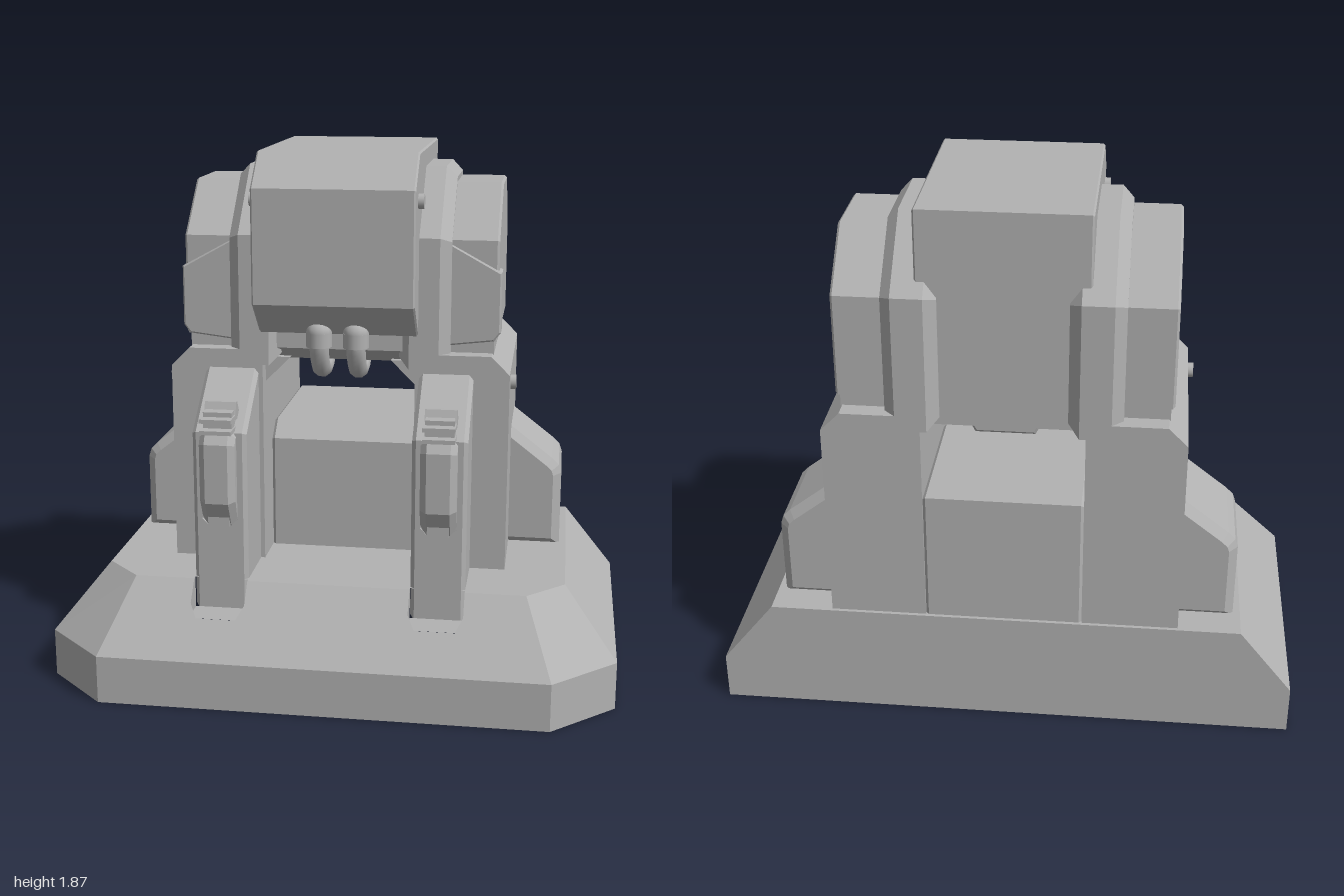
import * as THREE from 'three';
import { mergeGeometries } from 'three/addons/utils/BufferGeometryUtils.js';

const grey = new THREE.MeshStandardMaterial({ color: 0xb2b2b2 });
grey.name = 'plain grey';

const toShape = pts => new THREE.Shape(pts.map(([x, y]) => new THREE.Vector2(x, y)));

// Extrude a [x, y] outline along z from z0 to z1, chamfering the end edges
function extrudeZ(pts, z0, z1, bevel = 0) {
  const g = new THREE.ExtrudeGeometry(toShape(pts), {
    depth: z1 - z0 - 2 * bevel, bevelEnabled: bevel > 0, bevelSegments: 1,
    bevelSize: bevel, bevelThickness: bevel, bevelOffset: -bevel, curveSegments: 6,
  });
  return g.translate(0, 0, z0 + bevel);
}

// Extrude a [z, y] outline along x, centred on cx
function extrudeX(pts, cx, width, bevel = 0) {
  return extrudeZ(pts.map(([z, y]) => [-z, y]), -width / 2, width / 2, bevel)
    .rotateY(Math.PI / 2).translate(cx, 0, 0);
}

// Flat upward face from an [x, z] outline, lifted by a height rule
function upFace(pts, height) {
  const g = new THREE.ShapeGeometry(toShape(pts.map(([x, z]) => [x, -z]))).rotateX(-Math.PI / 2).toNonIndexed();
  const p = g.attributes.position;
  for (let i = 0; i < p.count; i++) p.setY(i, height(p.getZ(i)));
  g.computeVertexNormals();
  return g;
}

// Quad strip between two rings of [x, y, z] points
function wall(low, high, skip = () => false) {
  const v = [];
  for (let i = 0; i < low.length - 1; i++) {
    if (skip(i)) continue;
    v.push(...low[i], ...low[i + 1], ...high[i + 1], ...low[i], ...high[i + 1], ...high[i]);
  }
  const g = new THREE.BufferGeometry();
  g.setAttribute('position', new THREE.Float32BufferAttribute(v, 3));
  g.setAttribute('uv', new THREE.Float32BufferAttribute(new Array(v.length / 3 * 2).fill(0), 2));
  g.computeVertexNormals();
  return g;
}

// Sloped plinth with a notch in front of each buttress
function baseGeometry() {
  const foot = [[-1, -0.6], [-1, 0.39], [-0.78, 0.6], [0.78, 0.6], [1, 0.39], [1, -0.6]];
  const deck = [[-0.815, -0.6], [-0.815, 0.27], [-0.685, 0.4], [0.685, 0.4], [0.815, 0.27], [0.815, -0.6]];
  const ring = (pts, y) => [...pts, pts[0]].map(([x, z]) => [x, y, z]);
  const slope = z => Math.min(0.4, 0.4 - (z - 0.4) * 1.15);
  const notch = c => [[0.095, 0.384], [0.095, 0.4], [0.095, 0.46], [0.07, 0.496],
    [-0.07, 0.496], [-0.095, 0.46], [-0.095, 0.4], [-0.095, 0.384]].map(([x, z]) => [c + x, z]);
  const right = notch(0.38), left = notch(-0.38);
  const ends = n => [n[1], n[0], n[7], n[6]];
  const parts = [
    wall(ring(foot, 0), ring(foot, 0.17)),
    wall(ring(foot, 0.17), ring(deck, 0.4), i => i === 2),
    upFace([foot[2], foot[3], deck[3], ...right.slice(1, 7), ...left.slice(1, 7), deck[2]], slope),
    upFace([deck[0], deck[1], deck[2], ...ends(left).reverse(), ...ends(right).reverse(), deck[3], deck[4], deck[5]], () => 0.4),
    new THREE.ShapeGeometry(toShape(foot)).rotateX(Math.PI / 2).toNonIndexed(),
  ];
  for (const n of [right, left]) {
    parts.push(upFace(n, () => 0.29));
    parts.push(wall(n.map(([x, z]) => [x, 0.29, z]), n.map(([x, z]) => [x, Math.max(0.29, slope(z)), z])));
  }
  return mergeGeometries(parts);
}

export function createModel() {
  const model = new THREE.Group();
  const add = (name, geometry) => {
    const m = new THREE.Mesh(geometry, grey);
    m.name = name;
    model.add(m);
    return m;
  };
  const box = (x, y, z, w, h, d) => new THREE.BoxGeometry(w, h, d).translate(x, y, z);

  add('base', baseGeometry());

  // Wall between the towers
  add('rearWall', extrudeX([[0, 0.39], [0, 0.81], [-0.07, 0.87], [-0.588, 0.87], [-0.588, 0.39]], 0, 0.55, 0.015));

  // Central housing with tapered nose
  add('housing', extrudeX([[0.285, 1.755], [0.155, 1.87], [-0.545, 1.87], [-0.545, 1.13], [0.06, 1.13],
    [0.13, 1.18], [0.13, 1.235], [0.155, 1.24], [0.285, 1.36]], 0, 0.56, 0.006));
  add('housingUnderplate', extrudeZ([[-0.13, 1.14], [-0.1, 1.08], [0.1, 1.08], [0.13, 1.14]], -0.5, -0.25, 0.01));

  for (const s of [1, -1]) {
    const flip = pts => pts.map(([x, y]) => [s * x, y]);

    add('tower', extrudeZ(flip([[0.27, 0.39], [0.6, 0.39], [0.6, 1.11], [0.535, 1.175], [0.27, 1.175]]), -0.588, 0.155));
    add('towerGusset', extrudeZ(flip([[0.28, 1.04], [0.28, 1.14], [0.18, 1.14]]), -0.3, 0.1));

    // Front buttress standing in its notch
    add('buttress', extrudeX([[0.1, 0.285], [0.384, 0.285], [0.384, 0.93], [0.155, 1.108], [0.1, 1.108]],
      s * 0.38, 0.19, 0.014));

    // Chamfered rim and shoulder cap
    add('shoulderRim', extrudeX([[0.155, 1.12], [0.155, 1.58], [-0.075, 1.805], [-0.365, 1.805],
      [-0.588, 1.59], [-0.588, 1.12]], s * 0.3, 0.18, 0.038));
    add('shoulderCap', extrudeX([[0.105, 1.22], [0.105, 1.57], [-0.09, 1.75], [-0.355, 1.75],
      [-0.54, 1.57], [-0.54, 1.22]], s * 0.45, 0.205, 0.008));
    add('shoulderNeck', box(s * 0.44, 1.19, -0.215, 0.2, 0.08, 0.62));
    add('shoulderPlate', extrudeZ(flip([[0.37, 1.2], [0.54, 1.22], [0.563, 1.25], [0.563, 1.46], [0.37, 1.565]]),
      0.02, 0.112, 0.006));

    // Side box with sloping top
    add('sideBox', extrudeZ(flip([[0.55, 0.39], [0.79, 0.39], [0.79, 0.67], [0.78, 0.7], [0.755, 0.725],
      [0.6, 0.845], [0.55, 0.845]]), -0.503, -0.147, 0.03));

    // Bolts
    for (const [x, y, z] of [[0.605, 1.068, 0.06], [0.285, 1.71, 0.19]]) {
      add('bolt', new THREE.CylinderGeometry(0.026, 0.026, 0.03, 12).rotateZ(Math.PI / 2).translate(s * x, y, z));
    }

    // Latch with grip fins and hook
    const x = s * 0.38;
    add('latchBody', extrudeX([[0.37, 0.6], [0.392, 0.6], [0.44, 0.69], [0.44, 0.9], [0.415, 0.94], [0.37, 0.94]],
      x, 0.125, 0.022));
    add('latchTip', box(x, 0.645, 0.395, 0.075, 0.09, 0.03));
    for (const y of [0.942, 0.982]) add('latchFin', box(x, y, 0.39, 0.11, 0.014, 0.1));
    add('latchBlock', box(x, 0.955, 0.37, 0.1, 0.1, 0.06));
    add('latchHook', extrudeX([[0.37, 0.97], [0.345, 1.03], [0.33, 1.03], [0.29, 0.97]], x, 0.11));

    // Hose curling from the nose to the underside
    const hx = s * 0.065;
    const path = new THREE.CatmullRomCurve3([[1.26, 0.175], [1.18, 0.165], [1.115, 0.12], [1.105, 0.05], [1.15, -0.02]]
      .map(([y, z]) => new THREE.Vector3(hx, y, z)));
    add('hose', new THREE.TubeGeometry(path, 16, 0.034, 10));
    add('hoseSocket', new THREE.CylinderGeometry(0.046, 0.046, 0.05, 12).translate(hx, 1.222, 0.17));
    add('hoseElbow', new THREE.SphereGeometry(0.046, 12, 8).translate(hx, 1.246, 0.17));
  }
  return model;
}
